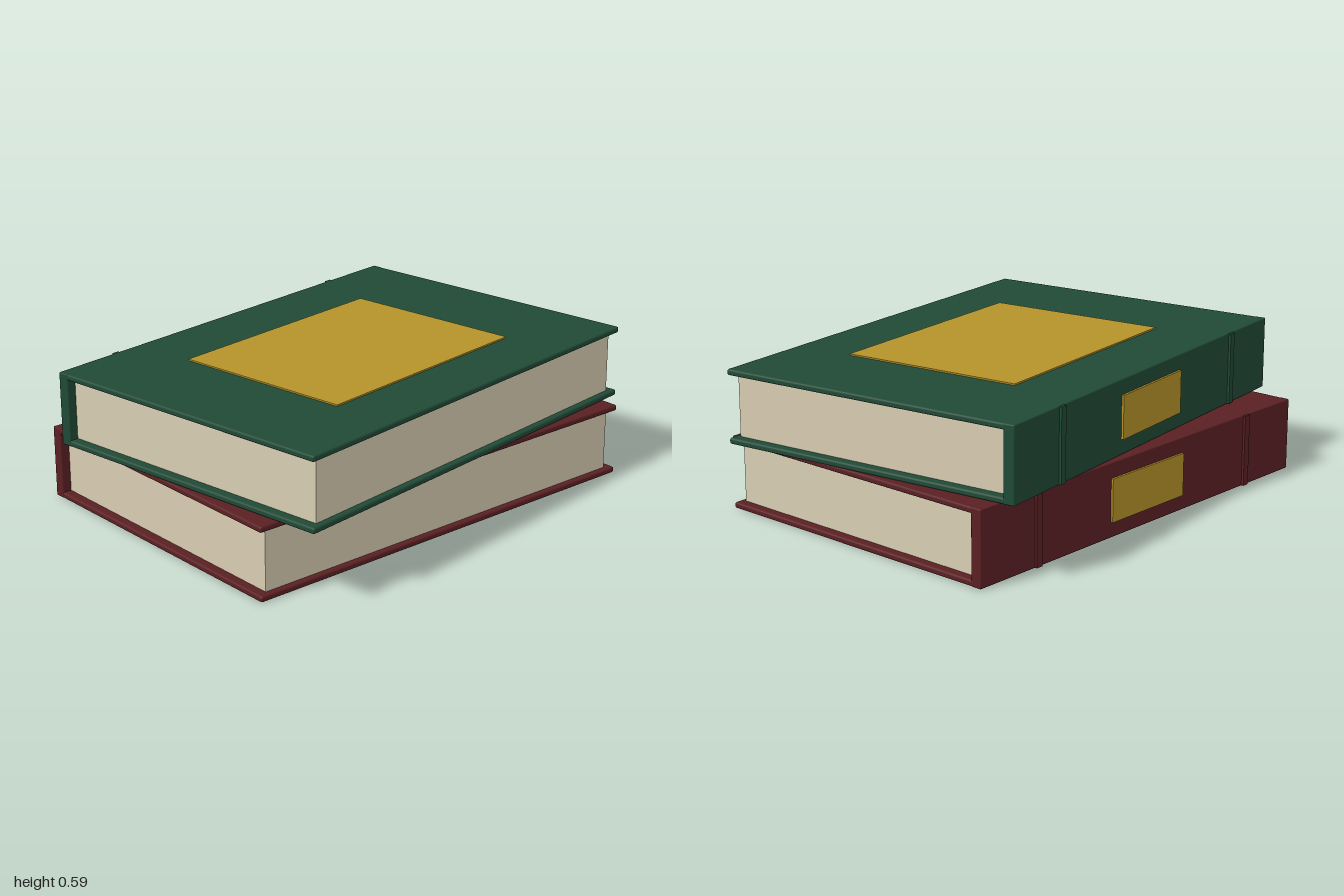
import * as THREE from 'three';
import { RoundedBoxGeometry } from 'three/addons/geometries/RoundedBoxGeometry.js';

const W = 1.29, D = 1.836, H = 0.292; // closed book
const T = 0.024; // cover board thickness
const SPINE = 0.046;

const material = (name, color) => {
  const m = new THREE.MeshStandardMaterial({ color });
  m.name = name;
  return m;
};

function add(group, name, geometry, mat, x, y, z) {
  const mesh = new THREE.Mesh(geometry, mat);
  mesh.name = name;
  mesh.position.set(x, y, z);
  group.add(mesh);
  return mesh;
}

// A book lying flat, spine towards -x, standing on y = 0
function createBook(name, cover, paper, gold) {
  const book = new THREE.Group();
  book.name = name;

  // Cover boards with softened edges
  const board = new RoundedBoxGeometry(W, T, D, 2, 0.008);
  add(book, 'bottomCover', board, cover, 0, T / 2, 0);
  add(book, 'topCover', board, cover, 0, H - T / 2, 0);

  // Spine and its raised bands
  add(book, 'spine', new RoundedBoxGeometry(SPINE, H, D, 2, 0.005), cover, -W / 2 + SPINE / 2, H / 2, 0);
  for (const side of [-1, 1]) {
    add(book, 'spineBand', new THREE.BoxGeometry(0.02, H - 0.004, 0.03), cover, -W / 2, H / 2, side * 0.62);
  }

  // Page block, set back from the cover edges
  add(book, 'pages', new THREE.BoxGeometry(1.222, H - 2 * T + 0.002, 1.76), paper, 0.01, H / 2, 0);

  // Title plate on the spine
  add(book, 'spineLabel', new THREE.BoxGeometry(0.009, 0.17, 0.424), gold, -W / 2 - 0.0045, H / 2, 0);
  return book;
}

export function createModel() {
  const model = new THREE.Group();
  model.name = 'bookStack';
  const red = material('dark red cloth', 0x5a2023);
  const green = material('dark green cloth', 0x204a36);
  const paper = material('cream paper', 0xd8cdb2);
  const gold = material('old gold', 0xb5922a);

  const lower = createBook('lowerBook', red, paper, gold);
  lower.position.x = -0.053;
  model.add(lower);

  // Upper book, turned slightly on the lower one
  const upper = createBook('upperBook', green, paper, gold);
  upper.position.y = H + 0.001;
  upper.rotation.y = 0.138;
  add(upper, 'coverPanel', new THREE.BoxGeometry(0.757, 0.006, 1.01), gold, 0.01, H + 0.003, 0);
  model.add(upper);
  return model;
}
